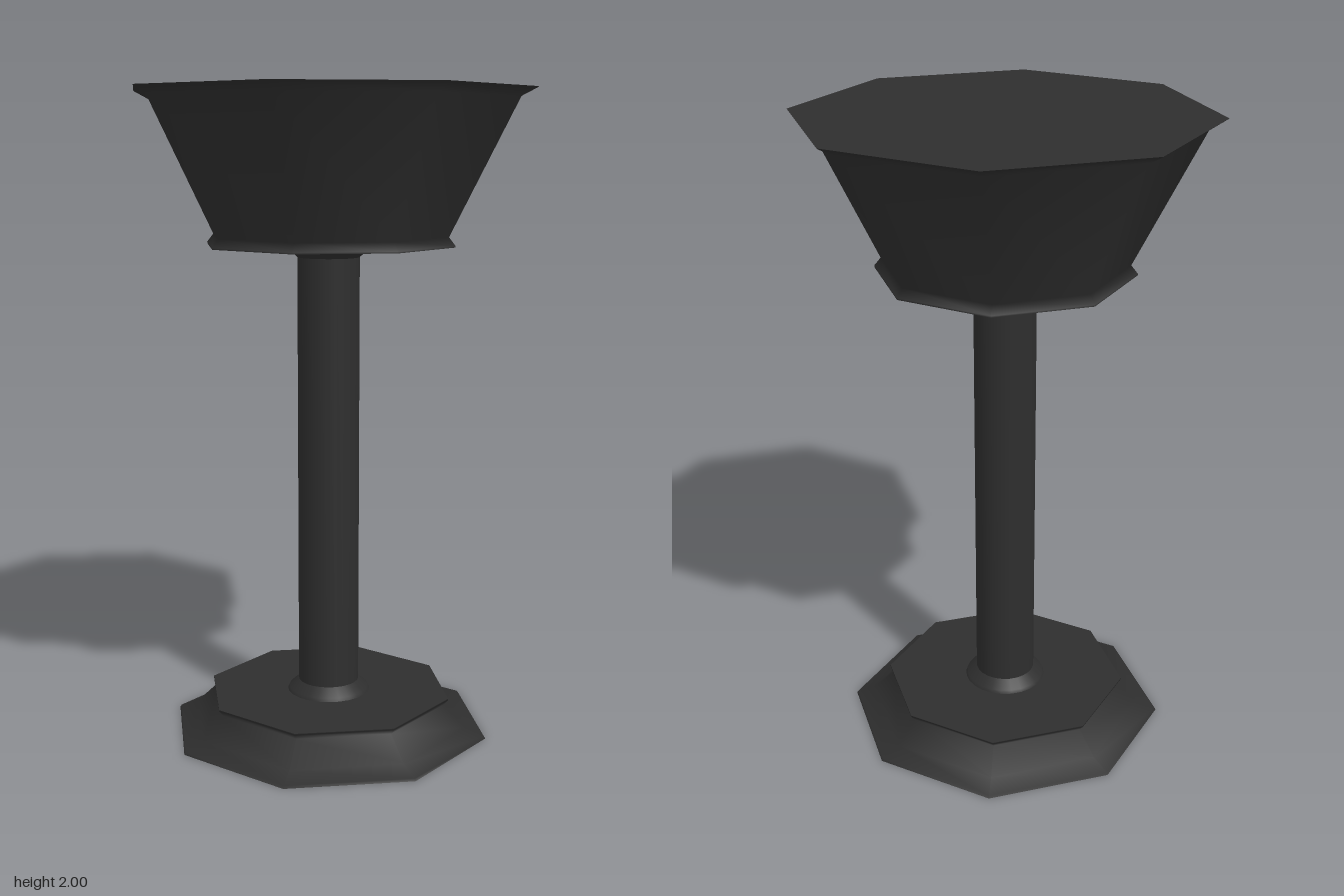
import * as THREE from 'three';

export function createModel() {
  const model = new THREE.Group();
  const black = new THREE.MeshStandardMaterial({ color: 0x2e2e2e });
  black.name = 'matte black';

  const turned = (name, parent, sides, profile) => {
    const points = profile.map(([r, y]) => new THREE.Vector2(r, y));
    const mesh = new THREE.Mesh(new THREE.LatheGeometry(points, sides), black);
    mesh.name = name;
    parent.add(mesh);
  };

  // Octagonal solid: smooth side wall with crisp flat ends
  const octagon = (name, wall) => {
    const part = new THREE.Group();
    part.name = name;
    const [r0, y0] = wall[0];
    const [r1, y1] = wall[wall.length - 1];
    turned(name + 'Underside', part, 8, [[0, y0], [r0, y0]]);
    turned(name + 'Wall', part, 8, wall);
    turned(name + 'Top', part, 8, [[r1, y1], [0, y1]]);
    model.add(part);
  };

  // Foot with flared hem and small upper lip
  octagon('foot', [[0.51, 0], [0.505, 0.007], [0.445, 0.03], [0.375, 0.098], [0.39, 0.116], [0.39, 0.12]]);

  // Round stem with a flared collar at each end
  turned('lowerCollar', model, 24, [[0.13, 0.12], [0.125, 0.13], [0.095, 0.155]]);
  turned('stem', model, 24, [[0.095, 0.12], [0.095, 1.535]]);
  turned('upperCollar', model, 24, [[0.095, 1.5], [0.125, 1.525], [0.13, 1.535]]);

  // Tapered head with lower lip and overhanging top
  octagon('head', [[0.39, 1.535], [0.39, 1.54], [0.37, 1.565], [0.575, 1.973], [0.62, 1.996], [0.625, 2]]);

  return model;
}
